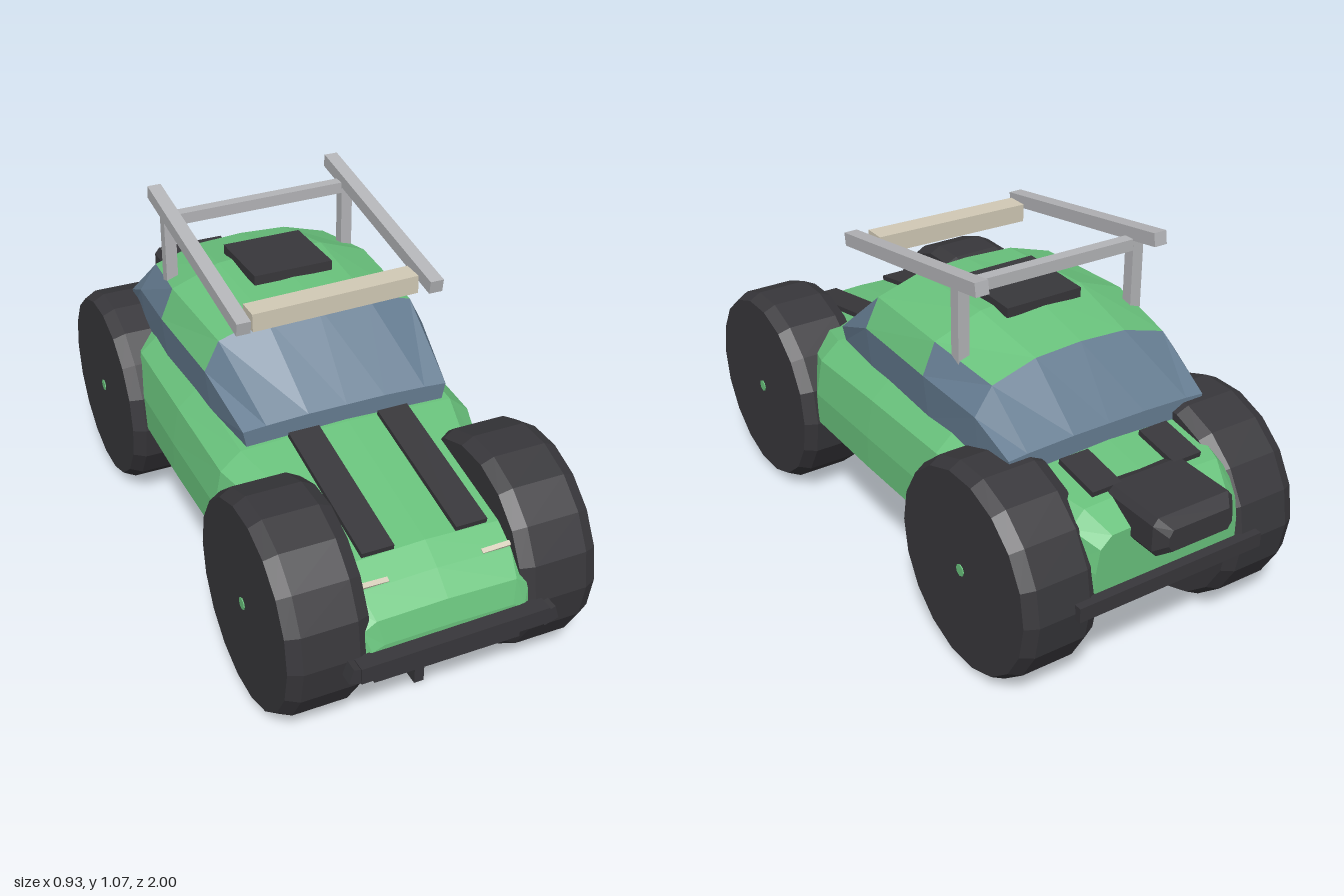
import * as THREE from 'three';

const mat = (name, color) => new THREE.MeshStandardMaterial({ name, color, flatShading: true });

export function createModel() {
  const green = mat('body green', 0x69c27c);
  const glass = mat('glass blue', 0x667d92);
  const dark = mat('dark rubber', 0x38373b);
  const steel = mat('rack steel', 0xb4b5b8);
  const cream = mat('lamp cream', 0xd2cab6);
  const car = new THREE.Group();
  car.name = 'car';

  const add = (name, geometry, material, x = 0, y = 0, z = 0) => {
    const m = new THREE.Mesh(geometry, material);
    m.name = name;
    m.position.set(x, y, z);
    car.add(m);
    return m;
  };
  const box = (name, material, w, h, d, x, y, z) =>
    add(name, new THREE.BoxGeometry(w, h, d), material, x, y, z);

  // Straight bar from a to b with a w by h section
  const beam = (name, material, a, b, w, h) => {
    const p = new THREE.Vector3(...a), q = new THREE.Vector3(...b);
    const mid = p.clone().add(q).multiplyScalar(0.5);
    const m = box(name, material, w, h, p.distanceTo(q), mid.x, mid.y, mid.z);
    m.lookAt(q);
    return m;
  };

  // Mirrored half-section (bottom to top, +x side) as a full ring
  const ring = (z, half) => [
    ...half.map(([x, y]) => [x, y, z]),
    ...half.filter(([x]) => x > 0).reverse().map(([x, y]) => [-x, y, z]),
  ];

  // Skin over rings ordered front to back; pick(i, j) chooses the material
  const loft = (name, rings, pick) => {
    const parts = new Map();
    const tri = (m, ...pts) => {
      if (!parts.has(m)) parts.set(m, []);
      pts.forEach((p) => parts.get(m).push(...p));
    };
    const n = rings[0].length, last = rings.length - 1;
    for (let i = 0; i < last; i++) {
      for (let j = 0; j < n; j++) {
        const k = (j + 1) % n, a = rings[i], b = rings[i + 1], m = pick(i, j);
        tri(m, a[j], b[j], b[k]);
        tri(m, a[j], b[k], a[k]);
      }
    }
    for (let j = 1; j < n - 1; j++) {
      const f = rings[0], r = rings[last];
      tri(pick(0, 1), f[0], f[j], f[j + 1]);
      tri(pick(last - 1, 1), r[0], r[j + 1], r[j]);
    }
    for (const [m, pos] of parts) {
      const g = new THREE.BufferGeometry();
      g.setAttribute('position', new THREE.Float32BufferAttribute(pos, 3));
      g.computeVertexNormals();
      add(`${name} ${m.name}`, g, m);
    }
  };

  // Body shell: z, half width, bottom, top
  const shape = [[0.85, 0], [1, 0.22], [1, 0.5], [0.95, 0.82], [0.8, 0.97], [0, 1]];
  const body = [
    [0.955, 0.24, 0.25, 0.34], [0.935, 0.26, 0.24, 0.41], [0.87, 0.28, 0.24, 0.465],
    [0.8, 0.3, 0.24, 0.508], [0.5, 0.36, 0.25, 0.567], [0.33, 0.415, 0.25, 0.6],
    [0, 0.42, 0.25, 0.62], [-0.35, 0.415, 0.25, 0.62], [-0.6, 0.35, 0.25, 0.6],
    [-0.8, 0.28, 0.26, 0.57], [-0.88, 0.24, 0.3, 0.52],
  ];
  loft('body', body.map(([z, w, b, t]) =>
    ring(z, shape.map(([u, v]) => [u * w, b + v * (t - b)]))), () => green);

  // Cabin: base, belt, shoulder, roof side, roof centre
  const cabin = [
    [0.32, [[0.31, 0.59], [0.32, 0.64], [0.25, 0.645], [0.12, 0.65], [0, 0.65]]],
    [0.11, [[0.335, 0.59], [0.35, 0.73], [0.305, 0.82], [0.16, 0.865], [0, 0.872]]],
    [-0.23, [[0.345, 0.59], [0.36, 0.73], [0.32, 0.825], [0.17, 0.88], [0, 0.892]]],
    [-0.47, [[0.335, 0.59], [0.345, 0.71], [0.29, 0.79], [0.15, 0.832], [0, 0.84]]],
    [-0.61, [[0.32, 0.59], [0.33, 0.64], [0.27, 0.645], [0.12, 0.65], [0, 0.65]]],
  ];
  loft('cabin', cabin.map(([z, half]) => ring(z, half)), (i, j) => {
    const band = Math.min(j, 7 - j);
    if (i === 1) return band >= 1 ? green : glass;
    if (i === 2) return band >= 2 ? green : glass;
    return glass;
  });

  // Roof hatch
  const hatch = box('roofHatch', dark, 0.25, 0.03, 0.245, 0, 0.89, -0.175);
  hatch.rotation.x = -0.03;

  // Wheels with small hub caps
  const tyre = new THREE.LatheGeometry(
    [[0, -0.118], [0.298, -0.118], [0.317, -0.08], [0.317, 0.08], [0.298, 0.118], [0, 0.118]]
      .map(([r, y]) => new THREE.Vector2(r, y)), 18);
  tyre.rotateZ(Math.PI / 2);
  const hub = new THREE.CylinderGeometry(0.018, 0.018, 0.004, 8).rotateZ(Math.PI / 2);

  for (const s of [1, -1]) {
    const side = s > 0 ? 'left' : 'right';
    for (const [end, z] of [['Front', 0.64], ['Rear', -0.575]]) {
      add(`${side}${end}Wheel`, tyre, dark, s * 0.342, 0.32, z);
      add(`${side}${end}Hub`, hub, green, s * 0.461, 0.325, z);
    }
    // Hood and rear deck strips
    beam(`${side}HoodStrip`, dark, [s * 0.14, 0.513, 0.8], [s * 0.14, 0.604, 0.33], 0.095, 0.016);
    beam(`${side}DeckStrip`, dark, [s * 0.135, 0.578, -0.78], [s * 0.135, 0.602, -0.63], 0.095, 0.016);
    // Headlight slivers
    const lamp = box(`${side}Headlight`, cream, 0.11, 0.009, 0.014, s * 0.195, 0.468, 0.862);
    lamp.rotation.set(0.5, 0, s * 0.06);
    // Roof rack rails and posts
    beam(`${side}RackRail`, steel, [s * 0.295, 0.945, 0.28], [s * 0.295, 1.058, -0.43], 0.042, 0.04);
    beam(`${side}RackPost`, steel, [s * 0.293, 0.78, -0.32], [s * 0.293, 1.03, -0.32], 0.036, 0.036);
    // Bumper end knobs
    const knob = box(`${side}BumperEnd`, dark, 0.045, 0.045, 0.04, s * 0.285, 0.297, 0.975);
    knob.rotation.z = s * 0.3;
  }
  beam('rackCrossbar', steel, [-0.28, 1.01, -0.32], [0.28, 1.015, -0.32], 0.035, 0.035);
  beam('lightBar', cream, [-0.255, 0.935, 0.212], [0.255, 0.945, 0.212], 0.068, 0.055);

  // Bumpers, lower front valance and tow hook
  beam('frontBumper', dark, [-0.28, 0.298, 0.975], [0.28, 0.306, 0.975], 0.05, 0.05);
  beam('rearBumper', dark, [-0.31, 0.325, -0.895], [0.31, 0.325, -0.895], 0.032, 0.045);
  box('frontValance', dark, 0.44, 0.07, 0.03, 0, 0.253, 0.942);
  box('towHookPlate', dark, 0.03, 0.13, 0.09, 0, 0.075, 0.765);
  box('towHookHead', dark, 0.065, 0.07, 0.06, 0, 0.143, 0.765);

  // Rear engine box with chamfered ends
  const boxRing = (z, w, b, t) => ring(z, [
    [w * 0.88, b], [w, b + 0.02], [w, t - 0.02], [w * 0.88, t]]);
  loft('engineBox', [
    boxRing(-0.74, 0.11, 0.5, 0.575), boxRing(-0.77, 0.132, 0.47, 0.586),
    boxRing(-0.965, 0.132, 0.47, 0.586), boxRing(-1, 0.105, 0.495, 0.56),
  ], () => dark);

  return car;
}
